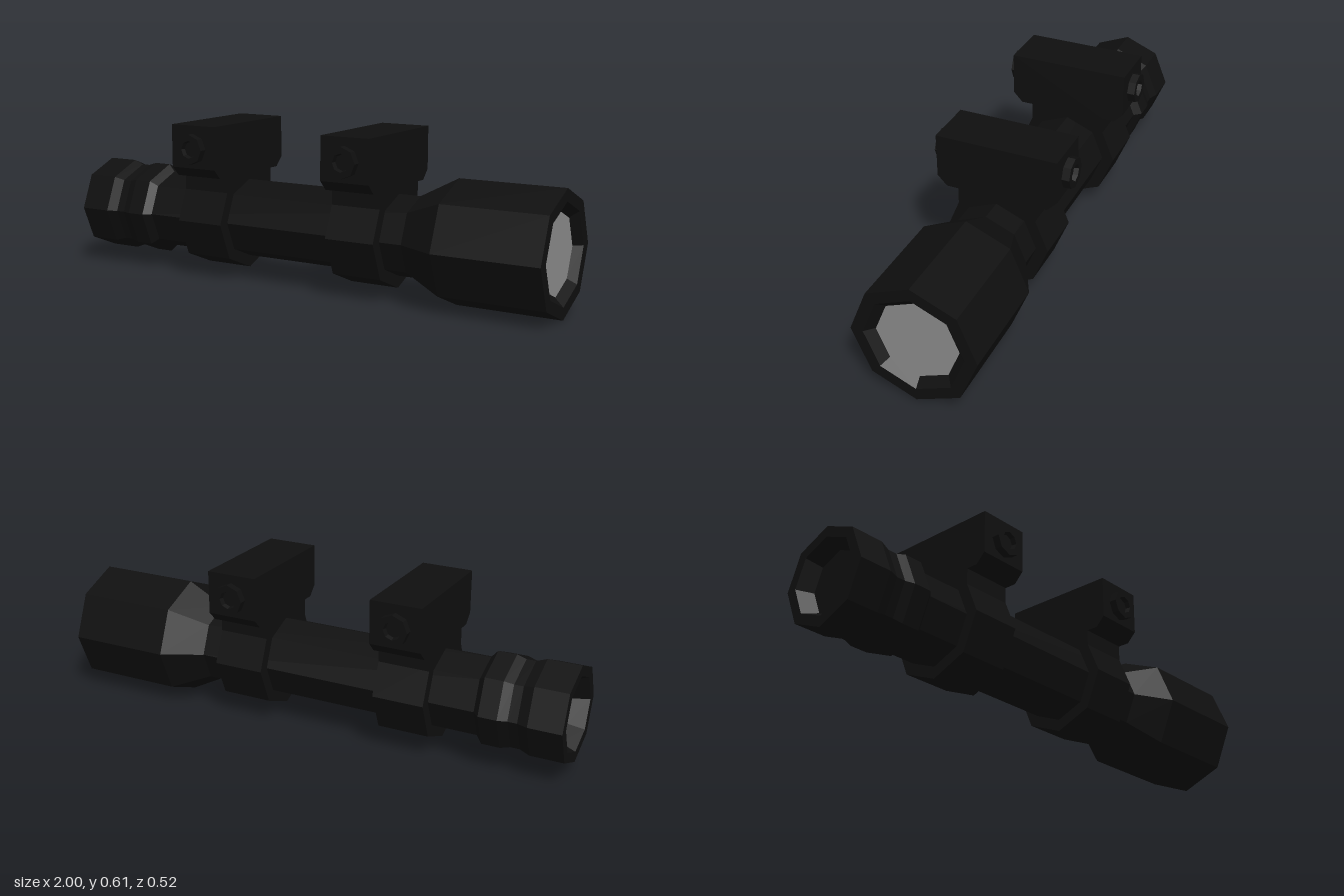
import * as THREE from 'three';

const AXIS_Y = 0.231;

export function createModel() {
  const black = new THREE.MeshStandardMaterial({ color: 0x0f0f0f, flatShading: true });
  black.name = 'matte black';
  const glass = new THREE.MeshStandardMaterial({ color: 0x8b8b8b, flatShading: true });
  glass.name = 'grey glass';

  const model = new THREE.Group();
  model.name = 'scope';

  const add = (parent, name, geometry, material, x = 0, y = 0, z = 0) => {
    const mesh = new THREE.Mesh(geometry, material);
    mesh.name = name;
    mesh.position.set(x, y, z);
    parent.add(mesh);
    return mesh;
  };

  // Octagonal turned part from [radius, position along axis] pairs
  const turned = (profile) =>
    new THREE.LatheGeometry(profile.map(([r, a]) => new THREE.Vector2(r, a)), 8);
  const turnedX = (profile) => turned(profile).rotateZ(-Math.PI / 2);

  // Eyepiece at the rear, with a recessed end
  add(model, 'eyepiece', turnedX([
    [0, -0.94], [0.12, -0.94], [0.145, -1], [0.185, -1], [0.185, -0.875],
    [0.17, -0.835], [0.17, -0.8], [0.181, -0.765], [0.181, -0.695], [0.153, -0.67],
  ]), black, 0, AXIS_Y);

  // Main tube
  add(model, 'mainTube', turnedX([[0.153, -0.67], [0.153, 0.45]]), black, 0, AXIS_Y);

  // Flared objective bell, with a bevelled recess for the lens
  add(model, 'objectiveBell', turnedX([
    [0.153, 0.45], [0.231, 0.6], [0.231, 1], [0.185, 1], [0.153, 0.968], [0, 0.968],
  ]), black, 0, AXIS_Y);
  add(model, 'frontLens', new THREE.CircleGeometry(0.153, 8).rotateY(Math.PI / 2),
    glass, 0.97, AXIS_Y);

  // Mount outline across the scope: neck, chamfered corners and flat top
  const half = [[0.15, 0.29], [0.15, 0.41], [0.195, 0.41], [0.231, 0.447], [0.231, 0.611]];
  const outline = [...half, ...half.map(([z, y]) => [-z, y]).reverse()];
  const mountShape = new THREE.Shape(outline.map(([z, y]) => new THREE.Vector2(z, y)));
  const width = 0.197;
  const h = width / 2;

  for (const [name, x] of [['rearMount', -0.398], ['frontMount', 0.264]]) {
    const mount = new THREE.Group();
    mount.name = name;
    mount.position.x = x;
    model.add(mount);

    // Ring clamped around the tube
    add(mount, 'clampRing', turnedX([[0.15, -h], [0.199, -h], [0.199, h], [0.15, h]]),
      black, 0, AXIS_Y);
    const block = new THREE.ExtrudeGeometry(mountShape, { depth: width, bevelEnabled: false });
    add(mount, 'mountBlock', block.translate(0, 0, -h).rotateY(Math.PI / 2), black);

    // Clamp bolts with shallow sockets on both sides
    for (const side of [1, -1]) {
      const bolt = turned([[0.058, 0], [0.058, 0.03], [0.034, 0.03], [0.03, 0.012], [0, 0.012]]);
      add(mount, side > 0 ? 'frontBolt' : 'backBolt',
        bolt.rotateX(side * Math.PI / 2), black, 0, 0.522, side * 0.23);
    }
  }

  return model;
}
